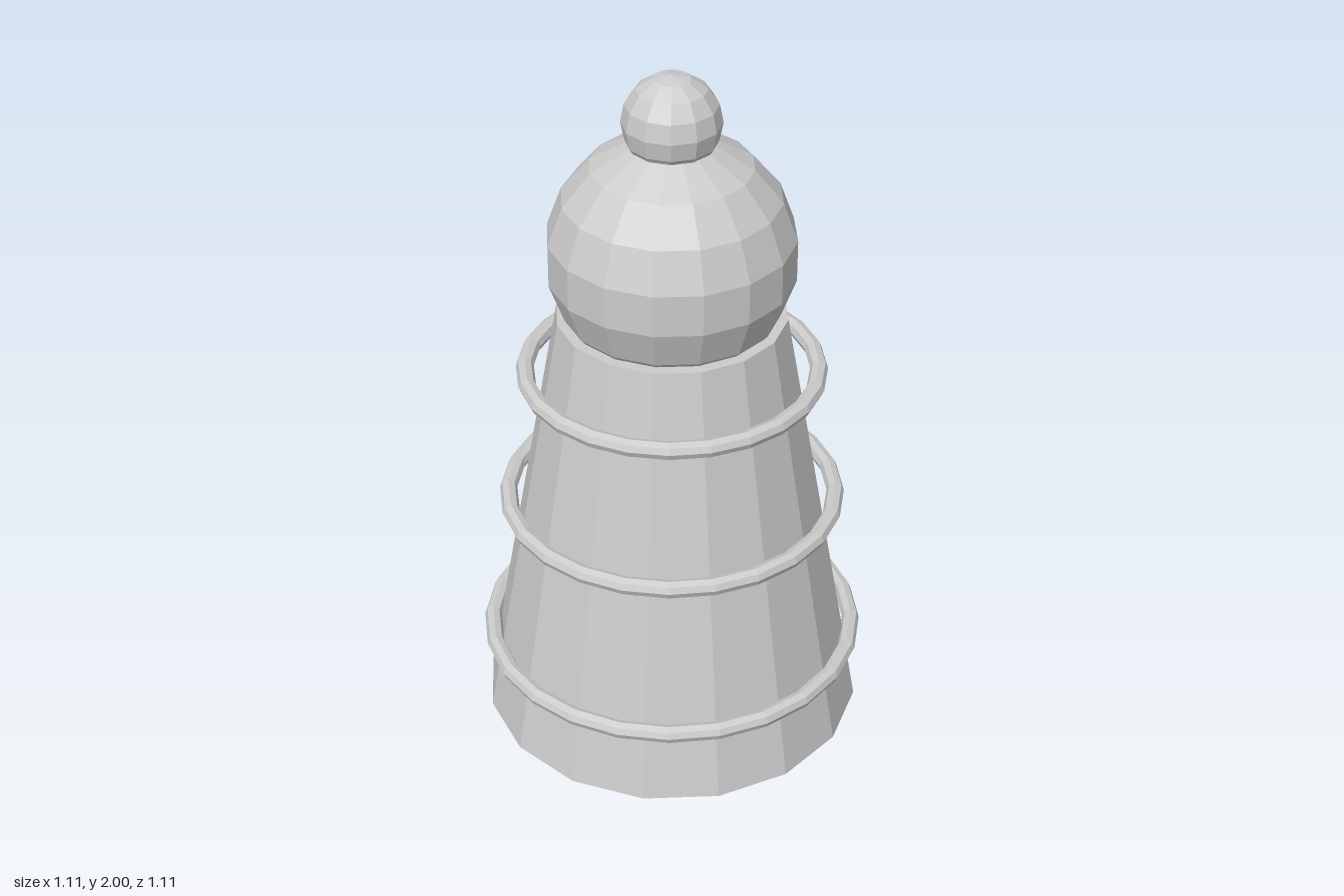
import * as THREE from 'three';

export function createModel() {
  const group = new THREE.Group();
  const material = new THREE.MeshStandardMaterial({ color: 0xcccccc, flatShading: true });

  const add = (name, geometry, y) => {
    const mesh = new THREE.Mesh(geometry, material);
    mesh.name = name;
    mesh.position.y = y;
    group.add(mesh);
    return mesh;
  };

  // Tapered body standing on the ground
  add('body', new THREE.CylinderGeometry(0.32, 0.55, 1.29, 16), 0.645);

  // Round head with a small ball on top
  add('head', new THREE.SphereGeometry(0.345, 16, 9), 1.475);
  add('topBall', new THREE.SphereGeometry(0.135, 12, 8), 1.865);

  // Loose hoops around the body: [height, radius]
  const hoops = { lowerHoop: [0.23, 0.53], middleHoop: [0.693, 0.468], upperHoop: [1.108, 0.408] };
  for (const [name, [y, radius]] of Object.entries(hoops)) {
    add(name, new THREE.TorusGeometry(radius, 0.025, 8, 24).rotateX(Math.PI / 2), y);
  }

  return group;
}
